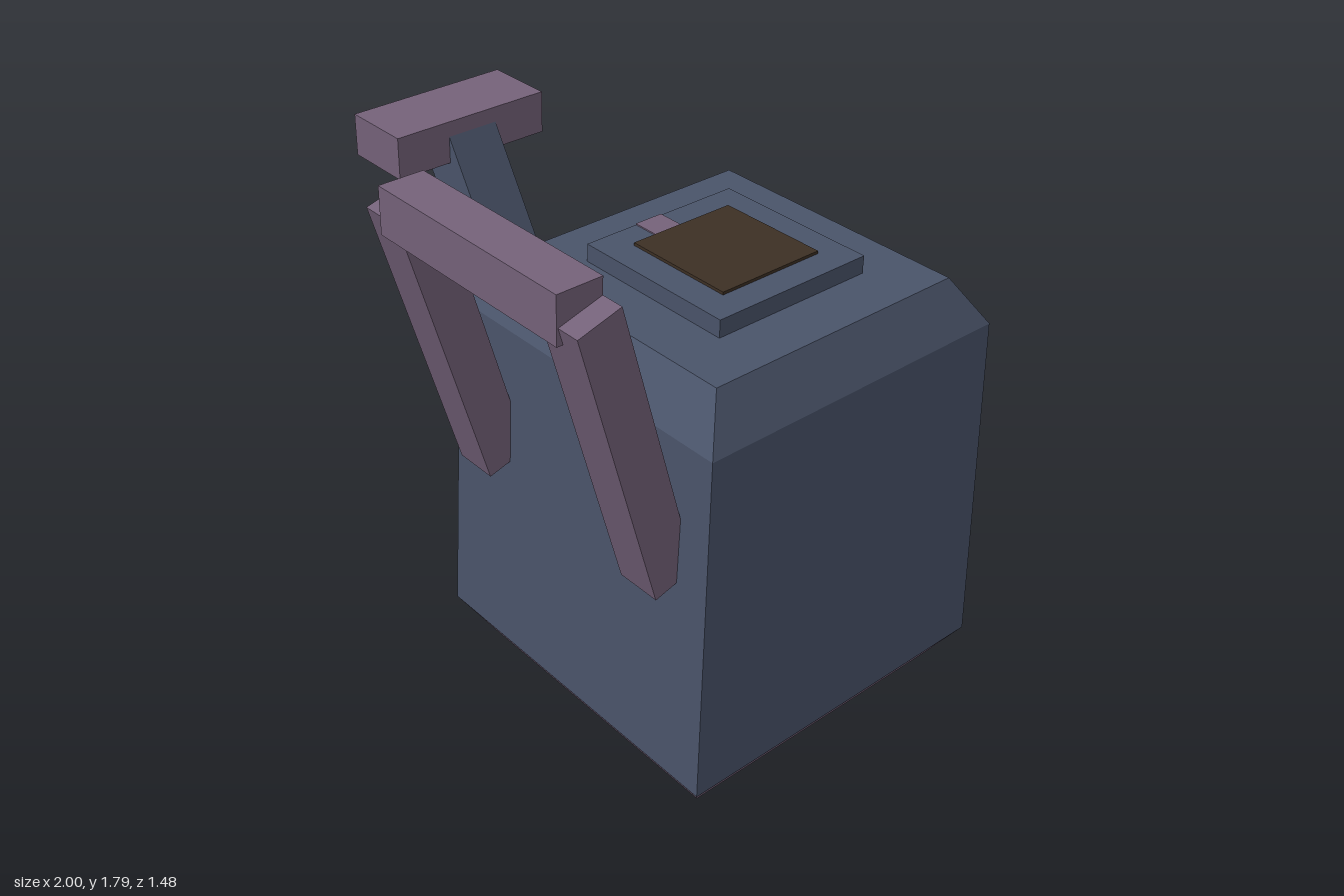
import * as THREE from 'three';

const mat = (name, color) => {
  const m = new THREE.MeshStandardMaterial({ color });
  m.name = name;
  return m;
};

export function createModel() {
  const blue = mat('slate blue', 0x4a546a);
  const mauve = mat('mauve', 0x75627a);
  const brown = mat('dark brown', 0x3d3024);
  const dark = mat('hole dark', 0x23232b);

  const model = new THREE.Group();
  model.name = 'wateringCan';
  const CX = 0.43, CZ = -0.145; // centre of the can

  const add = (name, geometry, material) => {
    const mesh = new THREE.Mesh(geometry, material);
    mesh.name = name;
    model.add(mesh);
    return mesh;
  };

  // Box given by its extents on each axis
  const box = (name, material, [x0, x1], [y0, y1], [z0, z1]) => {
    const mesh = add(name, new THREE.BoxGeometry(x1 - x0, y1 - y0, z1 - z0), material);
    mesh.position.set((x0 + x1) / 2, (y0 + y1) / 2, (z0 + z1) / 2);
    return mesh;
  };

  // Square tapered solid from [halfWidth, height] pairs, with flat faces
  const squareLathe = (name, material, profile) => {
    const points = profile.map(([h, y]) => new THREE.Vector2(h * Math.SQRT2, y));
    const geometry = new THREE.LatheGeometry(points, 4, Math.PI / 4).toNonIndexed();
    geometry.computeVertexNormals();
    add(name, geometry, material).position.set(CX, 0, CZ);
  };

  // Can: bevelled base, tapering body and shoulder
  squareLathe('base', mauve, [[0, 0], [0.47, 0], [0.565, 0.145]]);
  squareLathe('body', blue, [[0.565, 0.145], [0.53, 1.25], [0.44, 1.39], [0, 1.39]]);

  // Filler opening on top
  box('lid', blue, [0.16, 0.70], [1.38, 1.445], [-0.42, 0.125]);
  box('opening', brown, [0.25, 0.61], [1.44, 1.454], [-0.33, 0.03]);
  box('lidTab', mauve, [0.16, 0.25], [1.441, 1.449], [-0.15, -0.055]);

  // Badge on the back
  box('backPlate', mauve, [0.25, 0.61], [0.51, 0.85], [-0.72, -0.67]);
  box('backPanel', blue, [0.34, 0.52], [0.60, 0.775], [-0.74, -0.70]);

  // Trim strips on the spout side
  box('upperStrip', mauve, [-0.145, -0.08], [1.09, 1.13], [-0.33, 0.03]);
  box('lowerStrip', mauve, [-0.145, -0.10], [0.29, 0.335], [-0.33, 0.03]);

  // Spout in two angled sections
  const spout = (name, length, width, depth, x, y, angle) => {
    const mesh = add(name, new THREE.BoxGeometry(width, length, depth), blue);
    mesh.position.set(x, y, -0.149);
    mesh.rotation.z = angle;
  };
  spout('lowerSpout', 0.68, 0.226, 0.22, -0.318, 0.68, Math.PI / 4);
  spout('upperSpout', 0.51, 0.17, 0.185, -0.70, 1.147, 0.545);

  // Sprinkler head with three holes
  box('sprinklerHead', mauve, [-0.993, -0.75], [1.302, 1.445], [-0.435, 0.14]);
  for (const z of [-0.335, -0.172, -0.01]) {
    box('sprinklerHole', dark, [-1, -0.991], [1.368, 1.413], [z - 0.024, z + 0.024]);
  }

  // Handle: two leaning posts and a crossbar
  for (const x of [0.07, 0.79]) {
    const post = add('handlePost', new THREE.BoxGeometry(0.14, 0.94, 0.14), mauve);
    post.position.set(x, 1.264, 0.536);
    post.rotation.x = 0.285;
  }
  box('handleBar', mauve, [0.07, 0.79], [1.645, 1.786], [0.60, 0.74]);

  return model;
}
